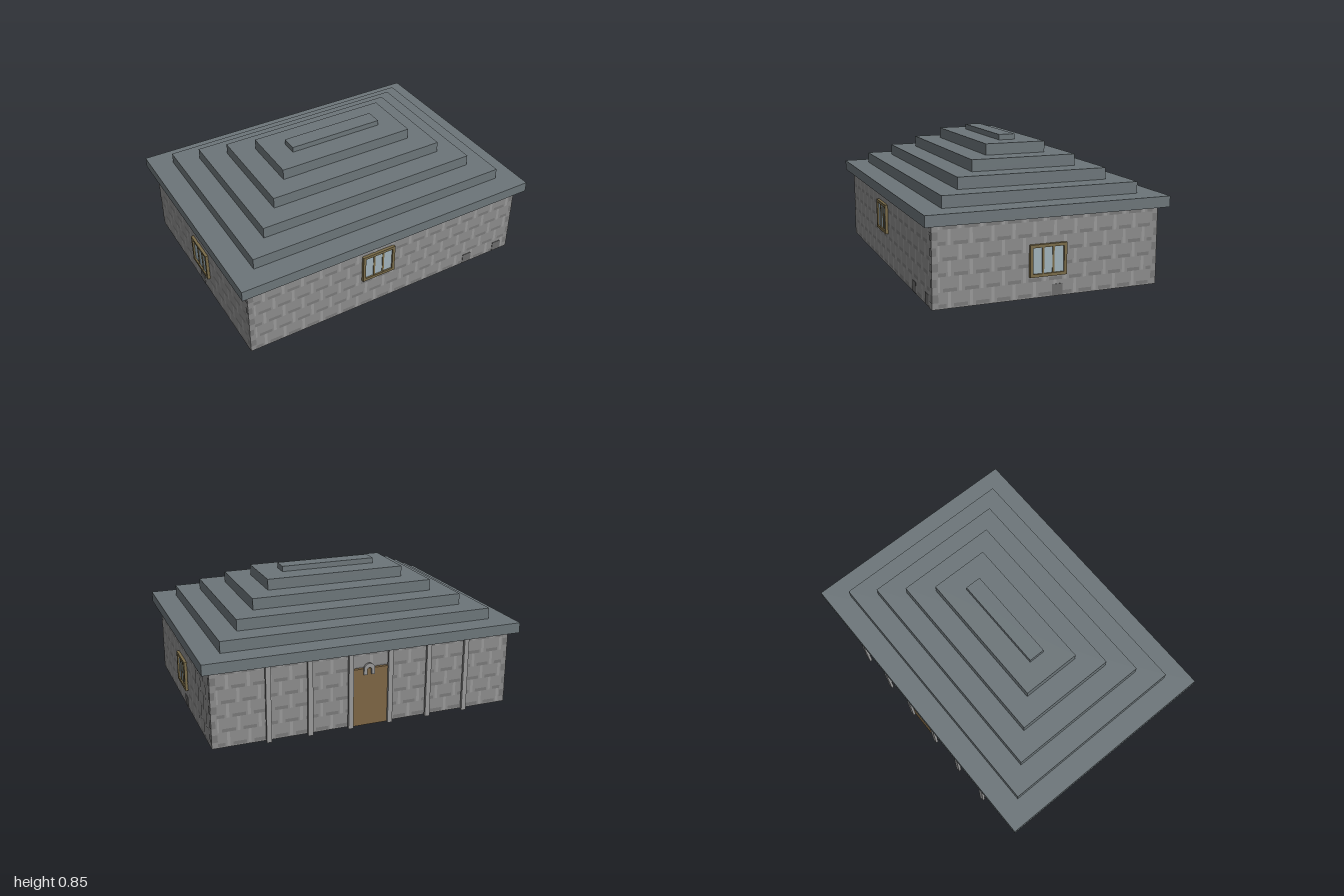
import * as THREE from 'three';
import { mergeGeometries } from 'three/addons/utils/BufferGeometryUtils.js';

const mat = (color) => new THREE.MeshStandardMaterial({ color });
const stone = mat(0x8a8a8a), darkStone = mat(0x787878), lightStone = mat(0x989898), vent = mat(0x6a6a6a);
const slate = mat(0x6c7579), timber = mat(0x786a48), doorWood = mat(0x7c6543), glass = mat(0x9fb0b8);
const HX = 0.95, HZ = 0.69, WALL_TOP = 0.47;

// Box given by its lower and upper corners
function box(name, material, [x0, y0, z0], [x1, y1, z1]) {
  const mesh = new THREE.Mesh(new THREE.BoxGeometry(x1 - x0, y1 - y0, z1 - z0), material);
  mesh.position.set((x0 + x1) / 2, (y0 + y1) / 2, (z0 + z1) / 2);
  mesh.name = name;
  return mesh;
}

// Flat rectangle on the local z = 0 face, trimmed to the wall's half width
function patch(x0, x1, y0, y1, half, lift) {
  const a = Math.max(x0, -half), b = Math.min(x1, half);
  if (b - a < 0.005) return null;
  return new THREE.PlaneGeometry(b - a, y1 - y0).translate((a + b) / 2, (y0 + y1) / 2, lift);
}

// Stone courses: dark bed joints, light upright joints and alternating quoins
function stonework(half) {
  const group = new THREE.Group();
  const dark = [], light = [], course = 0.0865, pitch = 0.125;
  for (let row = 0; row < 6; row++) {
    const y = row * course + 0.008;
    const shift = (row % 2) * pitch / 2;
    const top = Math.min(y + course, WALL_TOP);
    for (let x = -half - pitch; x < half; x += pitch) {
      dark.push(patch(x + shift, x + shift + 0.08, y, y + 0.02, half - 0.035, 0.001));
      light.push(patch(x + shift + 0.09, x + shift + 0.108, y, top, half - 0.035, 0.0015));
    }
    if (row < 5) for (const s of [-1, 1]) {
      const w = row % 2 ? 0.025 : 0.035, c = s * (half - w / 2);
      dark.push(patch(c - w / 2, c + w / 2, y + 0.03, y + 0.075, half, 0.002));
    }
  }
  for (const [name, list, material] of [['bedJoints', dark, darkStone], ['uprightJoints', light, lightStone]]) {
    const mesh = new THREE.Mesh(mergeGeometries(list.filter(Boolean)), material);
    mesh.name = name;
    group.add(mesh);
  }
  return group;
}

// Framed window with three panes, centred on its own origin, facing +z
function makeWindow(w, h) {
  const group = new THREE.Group();
  const t = 0.018, d = 0.018, x = w / 2, y = h / 2;
  group.add(box('glassPanes', glass, [-x + t, -y + t, 0], [x - t, y - t, 0.008]));
  for (const s of [-1, 1]) {
    const mx = s * (x - t / 2), my = s * (y - t / 2), bx = s * (w - 2 * t) / 6;
    group.add(box('frameSide', timber, [mx - t / 2, -y, 0], [mx + t / 2, y, d]));
    group.add(box('frameRail', timber, [-x + t, my - t / 2, 0], [x - t, my + t / 2, d]));
    group.add(box('mullion', timber, [bx - 0.006, -y + t, 0], [bx + 0.006, y - t, 0.012]));
  }
  return group;
}

// Small arched ornament above the door
function makeArch() {
  const shape = new THREE.Shape();
  shape.moveTo(-0.035, 0).lineTo(-0.035, 0.035);
  shape.absarc(0, 0.035, 0.035, Math.PI, 0, true);
  shape.lineTo(0.035, 0).lineTo(0.014, 0).lineTo(0.014, 0.03);
  shape.absarc(0, 0.03, 0.014, 0, Math.PI, false);
  shape.lineTo(-0.014, 0);
  const geo = new THREE.ExtrudeGeometry(shape, { depth: 0.012, bevelEnabled: false, curveSegments: 8 });
  const mesh = new THREE.Mesh(geo, lightStone);
  mesh.name = 'doorOrnament';
  return mesh;
}

export function createModel() {
  const house = new THREE.Group();
  house.name = 'house';
  house.add(box('walls', stone, [-HX, 0, -HZ], [HX, WALL_TOP, HZ]));

  // Each side: half width, distance from centre, turn, window [centre, height], vents (all in local x)
  const sides = [
    ['front', HX, HZ, 0, [-0.083, 0.305], [0.617, 0.862]],
    ['leftSide', HZ, HX, Math.PI / 2, [-0.012, 0.218], [0.05]],
    ['back', HX, HZ, Math.PI, null, []],
    ['rightSide', HZ, HX, -Math.PI / 2, [0.012, 0.218], [0]],
  ];
  for (const [name, half, dist, turn, win, vents] of sides) {
    const side = new THREE.Group();
    side.name = name;
    const work = stonework(half);
    work.name = 'stonework';
    work.position.z = dist;
    side.add(work);
    if (win) {
      const frame = makeWindow(0.225, 0.187);
      frame.name = 'window';
      frame.position.set(win[0], win[1], dist);
      side.add(frame);
    }
    for (const x of vents) {
      side.add(box('baseVent', vent, [x - 0.033, 0.004, dist - 0.01], [x + 0.033, 0.07, dist + 0.003]));
    }
    side.rotation.y = turn;
    house.add(side);
  }

  // Stepped roof: half width, half depth, lower and upper height
  const tiers = [
    [1, 0.74, 0.47, 0.535], [0.86, 0.602, 0.535, 0.605], [0.724, 0.465, 0.605, 0.675],
    [0.585, 0.328, 0.675, 0.745], [0.448, 0.19, 0.745, 0.813], [0.308, 0.052, 0.813, 0.847],
  ];
  tiers.forEach(([x, z, y0, y1], i) =>
    house.add(box(`roofTier${i + 1}`, slate, [-x, y0, -z], [x, y1, z])));

  // Back porch: door, ornament and six slim posts
  house.add(box('door', doorWood, [-0.125, 0.005, -0.71], [0.11, 0.365, -HZ]));
  const arch = makeArch();
  arch.position.set(0, 0.33, -0.723);
  house.add(arch);
  for (let i = 0; i < 6; i++) {
    const x = -0.642 + i * 0.2525;
    house.add(box('porchPost', lightStone, [x - 0.015, 0, -0.725], [x + 0.015, WALL_TOP, -0.708]));
  }
  return house;
}
